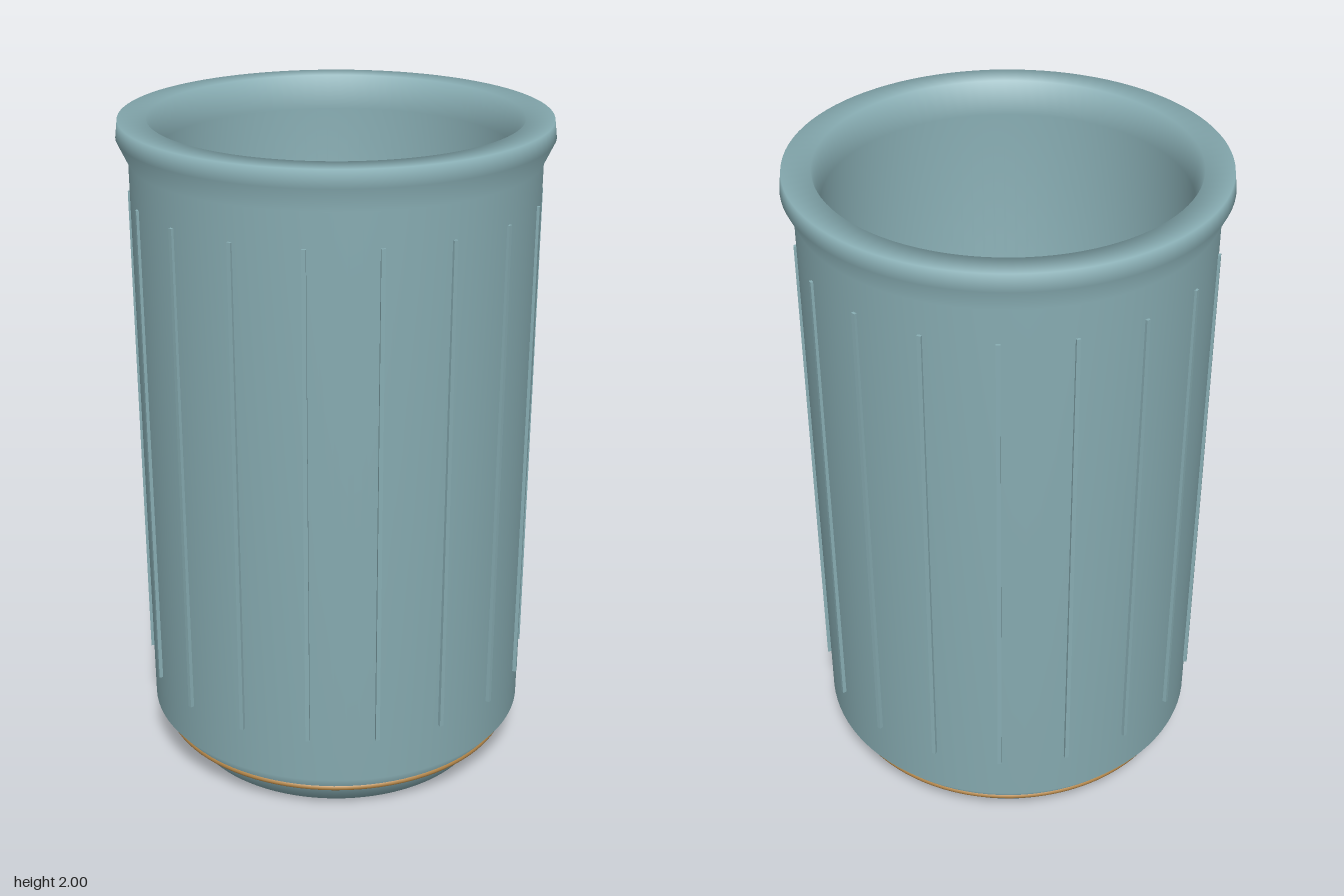
import * as THREE from 'three';

export function createModel() {
  const group = new THREE.Group();
  const glaze = new THREE.MeshStandardMaterial({ color: 0x88adb3 });
  glaze.name = 'teal glaze';
  const gold = new THREE.MeshStandardMaterial({ color: 0xb8894a });
  gold.name = 'gold band';

  const add = (name, geometry, material, parent = group) => {
    const mesh = new THREE.Mesh(geometry, material);
    mesh.name = name;
    parent.add(mesh);
    return mesh;
  };

  // Hollow cup: base, bevel, outer wall, flared lip, inner wall, floor
  const profile = [
    [0, 0], [0.47, 0], [0.582, 0.14], [0.595, 1.88], [0.628, 1.95], [0.622, 2],
    [0.54, 2], [0.52, 1.9], [0.515, 0.14], [0, 0.12],
  ].map(([r, y]) => new THREE.Vector2(r, y));
  add('cup', new THREE.LatheGeometry(profile, 96), glaze);

  // Thin gold band around the bevel
  const band = add('footBand', new THREE.TorusGeometry(0.538, 0.012, 10, 96), gold);
  band.rotation.x = Math.PI / 2;
  band.position.y = 0.09;

  // Eighteen slim vertical ribs, leaning outward with the wall
  const ribs = new THREE.Group();
  ribs.name = 'ribs';
  group.add(ribs);
  const ribGeometry = new THREE.BoxGeometry(0.012, 1.5, 0.02);
  ribGeometry.rotateX(0.005);
  ribGeometry.translate(0, 1.03, 0.588);
  for (let i = 0; i < 18; i++) {
    const rib = add('rib', ribGeometry, glaze, ribs);
    rib.rotation.y = ((i + 0.5) * Math.PI) / 9;
  }
  return group;
}
